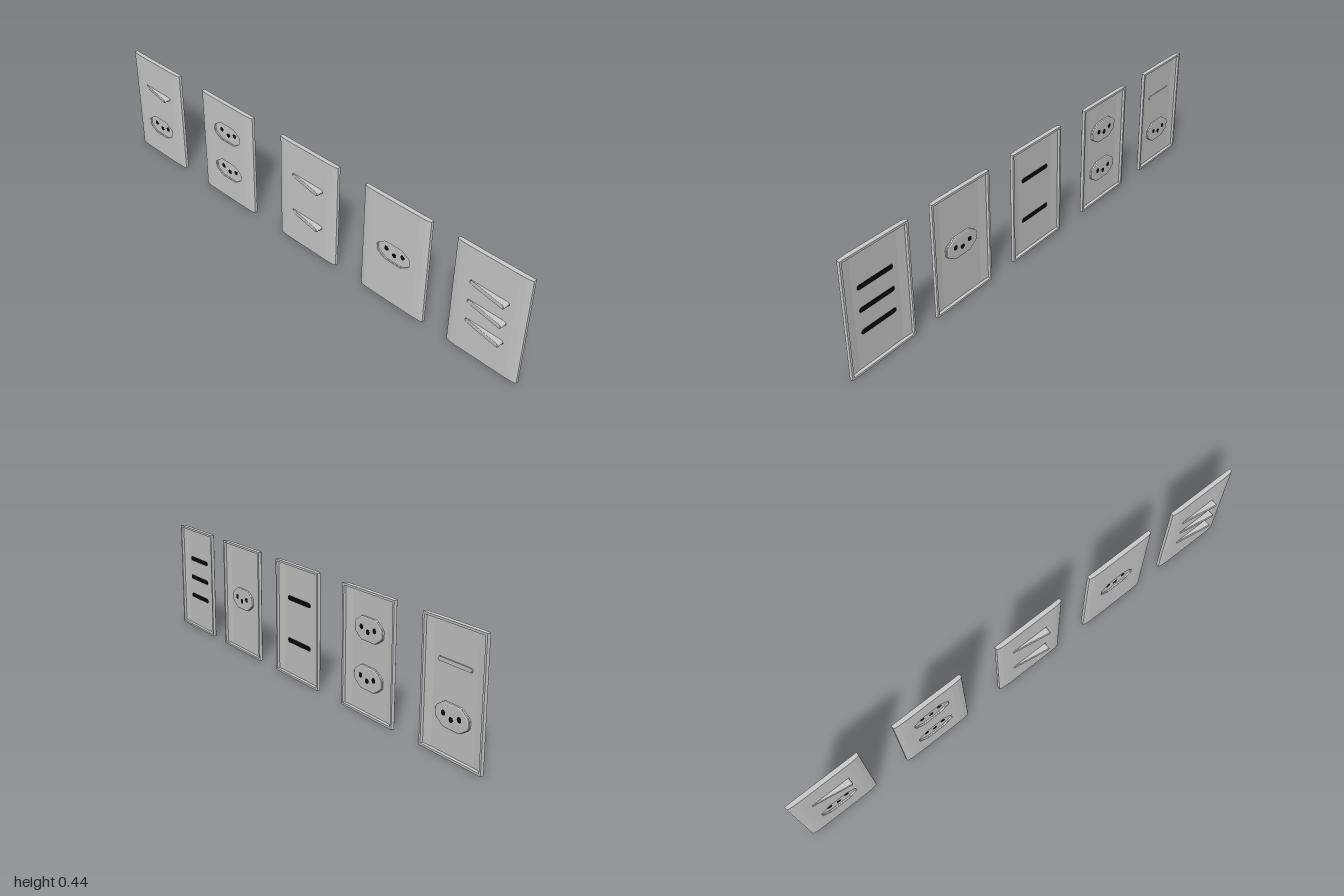
import * as THREE from 'three';

const W = 0.146, H = 0.44;              // plate half width and height
const FRONT = -0.004, BACK = -0.022;    // plate depth range
const grey = new THREE.MeshStandardMaterial({ color: 0xcccccc, side: THREE.DoubleSide });
const black = new THREE.MeshStandardMaterial({ color: 0x080808 });

function add(parent, name, geometry, material = grey) {
  const mesh = new THREE.Mesh(geometry, material);
  mesh.name = name;
  parent.add(mesh);
  return mesh;
}

const polygon = (pts, Type = THREE.Shape) => new Type(pts.map(([x, y]) => new THREE.Vector2(x, y)));

// Long hexagon with blunt tips, for socket openings and inserts
function hexPath(y, s = 1, Type = THREE.Shape) {
  const quarter = [[0.075, 0.012], [0.068, 0.020], [0.043, 0.036], [0.036, 0.039]];
  const half = [...quarter, ...quarter.map(([x, v]) => [-x, v]).reverse()];
  const all = [...half, ...half.map(([x, v]) => [-x, -v])];
  return polygon(all.map(([x, v]) => [x * s, y + v * s]), Type);
}

// Round-ended slot
function slotPath(y, halfLen, r, Type = THREE.Shape) {
  const p = new Type();
  p.absarc(halfLen - r, y, r, -Math.PI / 2, Math.PI / 2, false);
  p.absarc(-halfLen + r, y, r, Math.PI / 2, Math.PI * 1.5, false);
  p.closePath();
  return p;
}

// Wedge-shaped rocker, flush at -x and proud at +x
function addRocker(plate, y, r, closedBack) {
  const geo = new THREE.ExtrudeGeometry(slotPath(0, 0.074, r - 0.002), {
    depth: 0.8, bevelEnabled: true, bevelThickness: 0.1, bevelSize: 0.002, bevelSegments: 2, curveSegments: 6,
  });
  const p = geo.attributes.position;
  for (let i = 0; i < p.count; i++) {
    const t = THREE.MathUtils.clamp((p.getX(i) + 0.076) / 0.152, 0, 1);
    const front = THREE.MathUtils.lerp(-0.003, 0.022, t);
    const k = THREE.MathUtils.clamp(p.getZ(i), 0, 0.9) / 0.9;
    p.setZ(i, THREE.MathUtils.lerp(-0.0085, front, k));
  }
  geo.computeVertexNormals();
  add(plate, 'rocker', geo).position.y = y;
  const back = new THREE.ExtrudeGeometry(slotPath(0, 0.077, r), { depth: 0.002, bevelEnabled: false });
  add(plate, 'rockerBack', back, closedBack ? grey : black).position.set(0, y, closedBack ? -0.012 : -0.0102);
}

// Recessed insert with three pin holes, the middle one lower
function addSocket(plate, y) {
  const body = new THREE.ExtrudeGeometry(hexPath(0, 0.99), {
    depth: 0.004, bevelEnabled: true, bevelThickness: 0.002, bevelSize: 0.003, bevelSegments: 1,
  });
  add(plate, 'socketInsert', body).position.set(0, y, -0.0165);
  const lip = hexPath(0, 1.06);
  lip.holes.push(hexPath(0, 0.97, THREE.Path));
  add(plate, 'socketLip', new THREE.ExtrudeGeometry(lip, { depth: 0.008, bevelEnabled: false }))
    .position.set(0, y, -0.0135);
  for (const [x, dy] of [[-0.037, 0.004], [0, -0.008], [0.037, 0.004]]) {
    const pin = add(plate, 'pinHole', new THREE.CylinderGeometry(0.0095, 0.0095, 0.0092, 16), black);
    pin.rotation.x = Math.PI / 2;
    pin.position.set(x, y + dy, -0.0145);
  }
}

function makePlate({ x, rockers = [], sockets = [], closedBack = false }) {
  const plate = new THREE.Group();
  plate.name = 'wallPlate';
  plate.position.x = x;
  const r = closedBack ? 0.007 : 0.0085;

  // Flat middle panel with openings
  const c = 0.1;
  const panel = polygon([[-c, 0], [c, 0], [c, H], [-c, H]]);
  sockets.forEach((y) => panel.holes.push(hexPath(y, 1, THREE.Path)));
  rockers.forEach((y) => panel.holes.push(slotPath(y, 0.078, r + 0.001, THREE.Path)));
  add(plate, 'panel', new THREE.ExtrudeGeometry(panel, { depth: 0.005, bevelEnabled: false }))
    .position.z = FRONT - 0.005;

  // Sloped sides, each with a rim turned to the back
  const section = polygon([
    [c, -FRONT], [c, 0.009], [0.138, 0.012], [0.138, -BACK], [W, -BACK],
    [W, 0.010], [0.143, 0.0075], [0.125, 0.005],
  ]);
  const side = new THREE.ExtrudeGeometry(section, { depth: H, bevelEnabled: false });
  side.rotateX(-Math.PI / 2);
  for (const s of [1, -1]) {
    // The profile's second axis becomes -z after the turn
    const mesh = add(plate, s > 0 ? 'leftSide' : 'rightSide', side);
    if (s < 0) {
      mesh.rotation.z = Math.PI;
      mesh.position.y = H;
    }
  }

  // Top and bottom rims
  const depth = -0.008 - BACK;
  for (const y of [0.004, H - 0.004]) {
    add(plate, y < 0.1 ? 'bottomRim' : 'topRim', new THREE.BoxGeometry(0.28, 0.008, depth))
      .position.set(0, y, BACK + depth / 2);
  }

  rockers.forEach((y) => addRocker(plate, y, r, closedBack));
  sockets.forEach((y) => addSocket(plate, y));
  return plate;
}

export function createModel() {
  const model = new THREE.Group();
  model.name = 'switchAndSocketPlates';
  const plates = [
    { x: -0.854, rockers: [0.306], sockets: [0.138], closedBack: true },
    { x: -0.418, sockets: [0.306, 0.134] },
    { x: 0.03, rockers: [0.303, 0.138] },
    { x: 0.453, sockets: [0.22] },
    { x: 0.854, rockers: [0.303, 0.22, 0.138] },
  ];
  plates.forEach((p) => model.add(makePlate(p)));
  return model;
}
